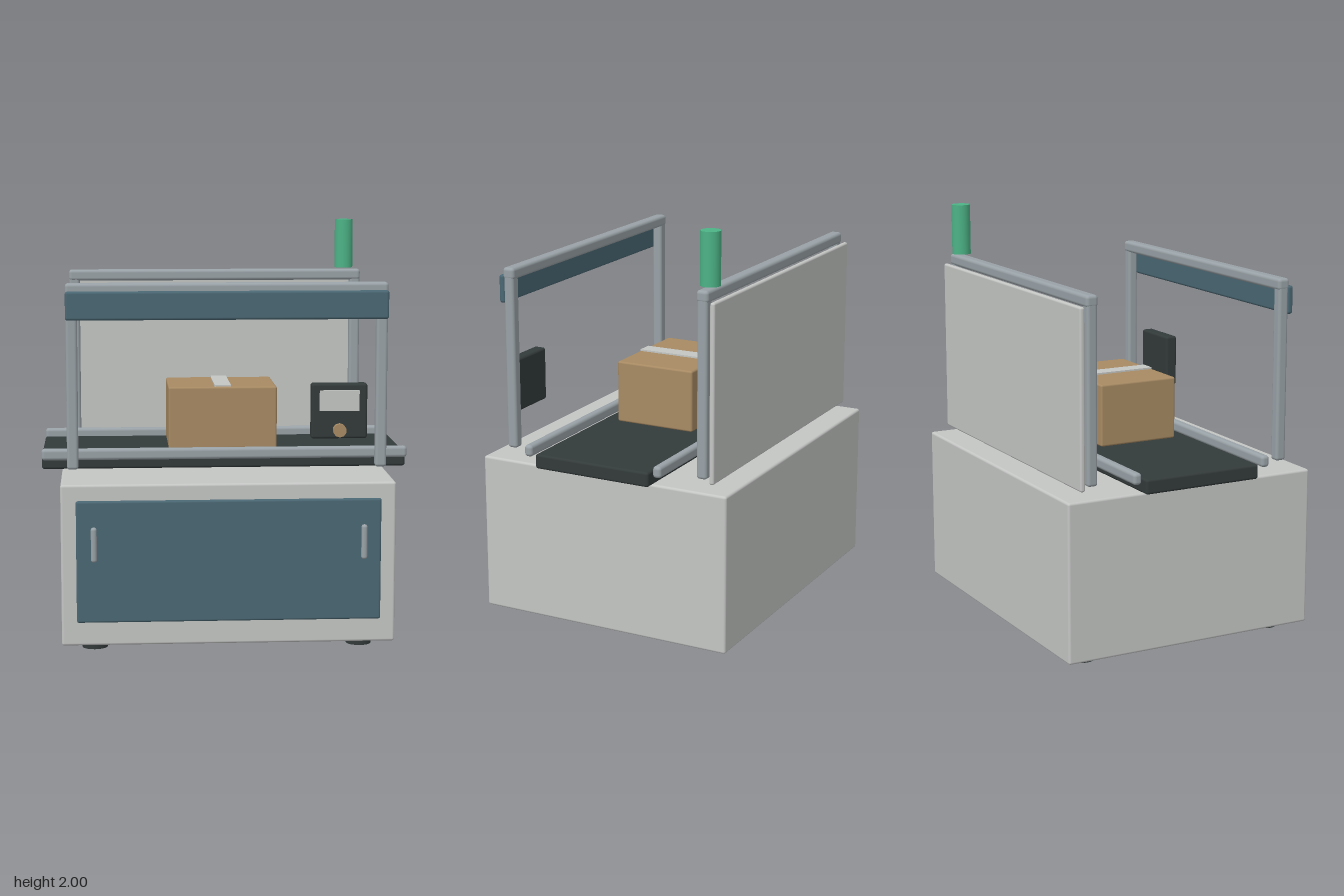
import * as THREE from 'three';
import { RoundedBoxGeometry } from 'three/addons/geometries/RoundedBoxGeometry.js';

const paint = (name, color) => {
  const m = new THREE.MeshStandardMaterial({ color });
  m.name = name;
  return m;
};

export function createModel() {
  const model = new THREE.Group();
  model.name = 'packingStation';

  const body = paint('light grey', 0xc4c6c4);
  const steel = paint('steel grey', 0x99a2a7);
  const blue = paint('slate blue', 0x4a6773);
  const dark = paint('charcoal', 0x333a3a);
  const card = paint('cardboard', 0xa78a63);
  const green = paint('signal green', 0x4cb386);

  const add = (name, geometry, material, x, y, z) => {
    const mesh = new THREE.Mesh(geometry, material);
    mesh.name = name;
    mesh.position.set(x, y, z);
    model.add(mesh);
    return mesh;
  };
  // Rounded box given by its limits on each axis
  const block = (name, material, [x0, x1], [y0, y1], [z0, z1], r) =>
    add(name, new RoundedBoxGeometry(x1 - x0, y1 - y0, z1 - z0, 3, r), material,
      (x0 + x1) / 2, (y0 + y1) / 2, (z0 + z1) / 2);

  // Base cabinet with its front door
  block('cabinet', body, [-0.79, 0.79], [0.04, 0.81], [-0.68, 0.62], 0.012);
  block('door', blue, [-0.718, 0.718], [0.155, 0.735], [0.615, 0.643], 0.01);

  // Handles and feet, mirrored left and right
  for (const s of [-1, 1]) {
    block('doorHandle', steel, [s * 0.635 - 0.014, s * 0.635 + 0.014], [0.45, 0.616], [0.645, 0.678], 0.013);
    for (const z of [0.478, -0.537])
      add('foot', new THREE.CylinderGeometry(0.061, 0.061, 0.04, 20), dark, s * 0.635, 0.02, z);
  }

  // Conveyor belt and its side rails
  block('conveyorBelt', dark, [-0.885, 0.885], [0.827, 0.898], [-0.33, 0.27], 0.012);
  for (const z of [0.31, -0.373])
    block('sideRail', steel, [-0.885, 0.885], [0.878, 0.934], [z - 0.021, z + 0.021], 0.016);

  // Front and back frames
  for (const z of [0.477, -0.537]) {
    for (const s of [-1, 1])
      block('framePost', steel, [s * 0.732 - 0.027, s * 0.732 + 0.027], [0.862, 1.735], [z - 0.026, z + 0.026], 0.014);
    block('frameTopRail', steel, [-0.76, 0.76], [1.685, 1.742], [z - 0.03, z + 0.03], 0.016);
  }
  block('headerPanel', blue, [-0.76, 0.76], [1.57, 1.705], [0.497, 0.528], 0.012);
  block('backPanel', body, [-0.76, 0.76], [0.843, 1.692], [-0.601, -0.576], 0.01);

  // Parcel with tape over the top
  block('parcel', card, [-0.268, 0.264], [0.905, 1.211], [-0.235, 0.175], 0.01);
  add('parcelTape', new THREE.BoxGeometry(0.08, 0.008, 0.402), body, -0.002, 1.215, -0.031);

  // Control box with screen and knob
  block('controlBox', dark, [0.391, 0.656], [1.01, 1.271], [0.505, 0.566], 0.012);
  add('controlScreen', new THREE.BoxGeometry(0.187, 0.097, 0.018), body, 0.523, 1.192, 0.572);
  const knob = add('controlKnob', new THREE.CylinderGeometry(0.032, 0.032, 0.036, 10), card, 0.523, 1.052, 0.58);
  knob.rotation.x = Math.PI / 2;

  // Signal beacon
  add('beacon', new THREE.CylinderGeometry(0.047, 0.047, 0.25, 24), green, 0.675, 1.875, -0.538);

  return model;
}
